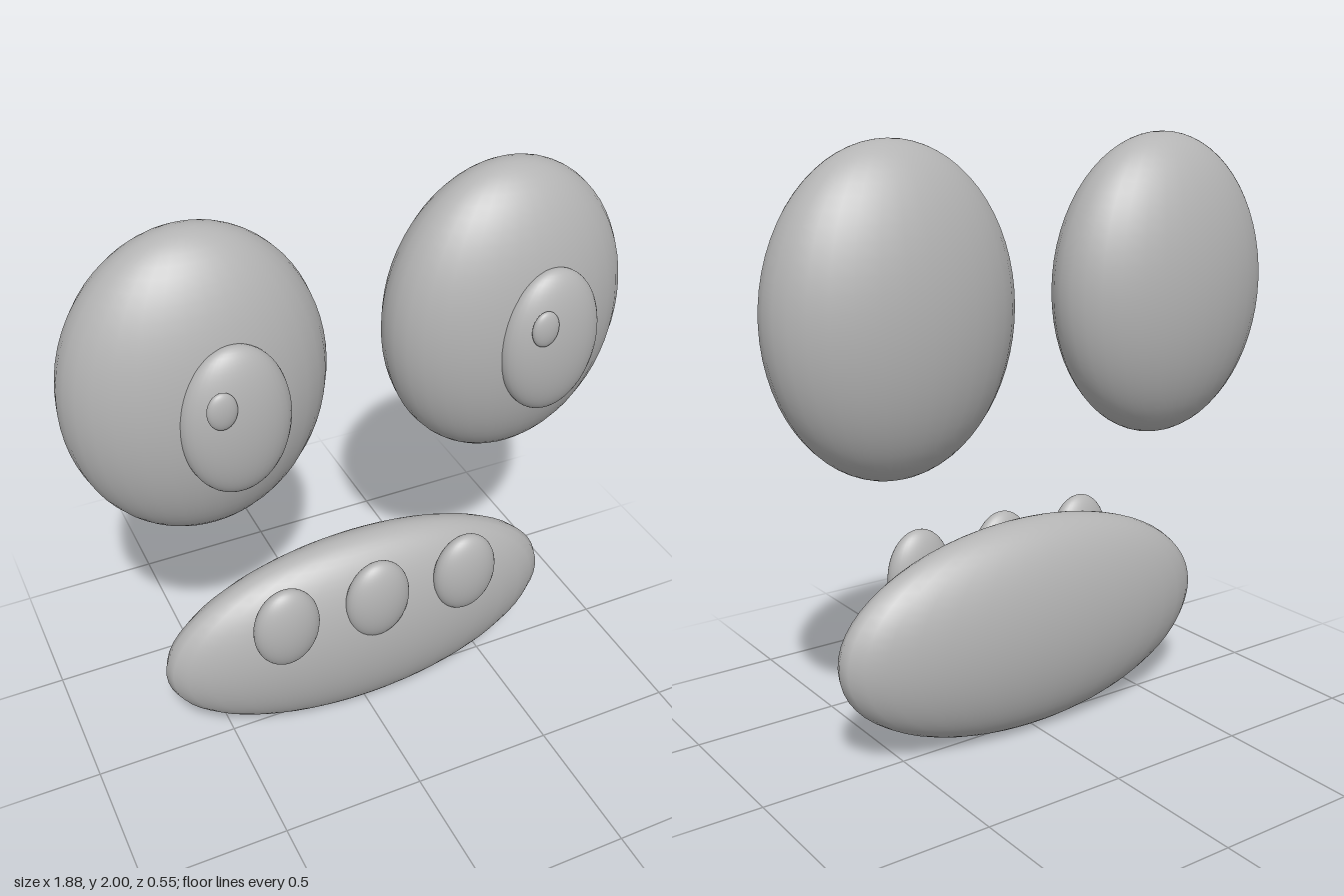
import * as THREE from 'three';

export function createModel() {
  const model = new THREE.Group();
  const grey = new THREE.MeshStandardMaterial({ color: 0xb4b4b4 });
  grey.name = 'grey';
  const ball = new THREE.SphereGeometry(1, 32, 32);

  // Smooth ellipsoid from its centre and radii
  function ellipsoid(name, centre, radii, parent = model) {
    const mesh = new THREE.Mesh(ball, grey);
    mesh.name = name;
    mesh.position.set(...centre);
    mesh.scale.set(...radii);
    parent.add(mesh);
  }

  // Eyes: both pupils and highlights share the same sideways offset
  for (const [name, x] of [['rightEye', -0.522], ['leftEye', 0.522]]) {
    const eye = new THREE.Group();
    eye.name = name;
    eye.position.set(x, 1.49, -0.037);
    ellipsoid('eyeball', [0, 0, 0], [0.416, 0.51, 0.237], eye);
    ellipsoid('pupil', [0.047, -0.017, 0.219], [0.171, 0.25, 0.08], eye);
    ellipsoid('highlight', [-0.016, 0.076, 0.292], [0.046, 0.061, 0.021], eye);
    model.add(eye);
  }

  // Mouth with a row of three teeth
  ellipsoid('mouth', [0, 0.373, 0], [0.723, 0.371, 0.174]);
  for (const x of [-0.335, 0, 0.335]) {
    ellipsoid('tooth', [x, 0.57, 0.148], [0.117, 0.16, 0.06]);
  }
  return model;
}
